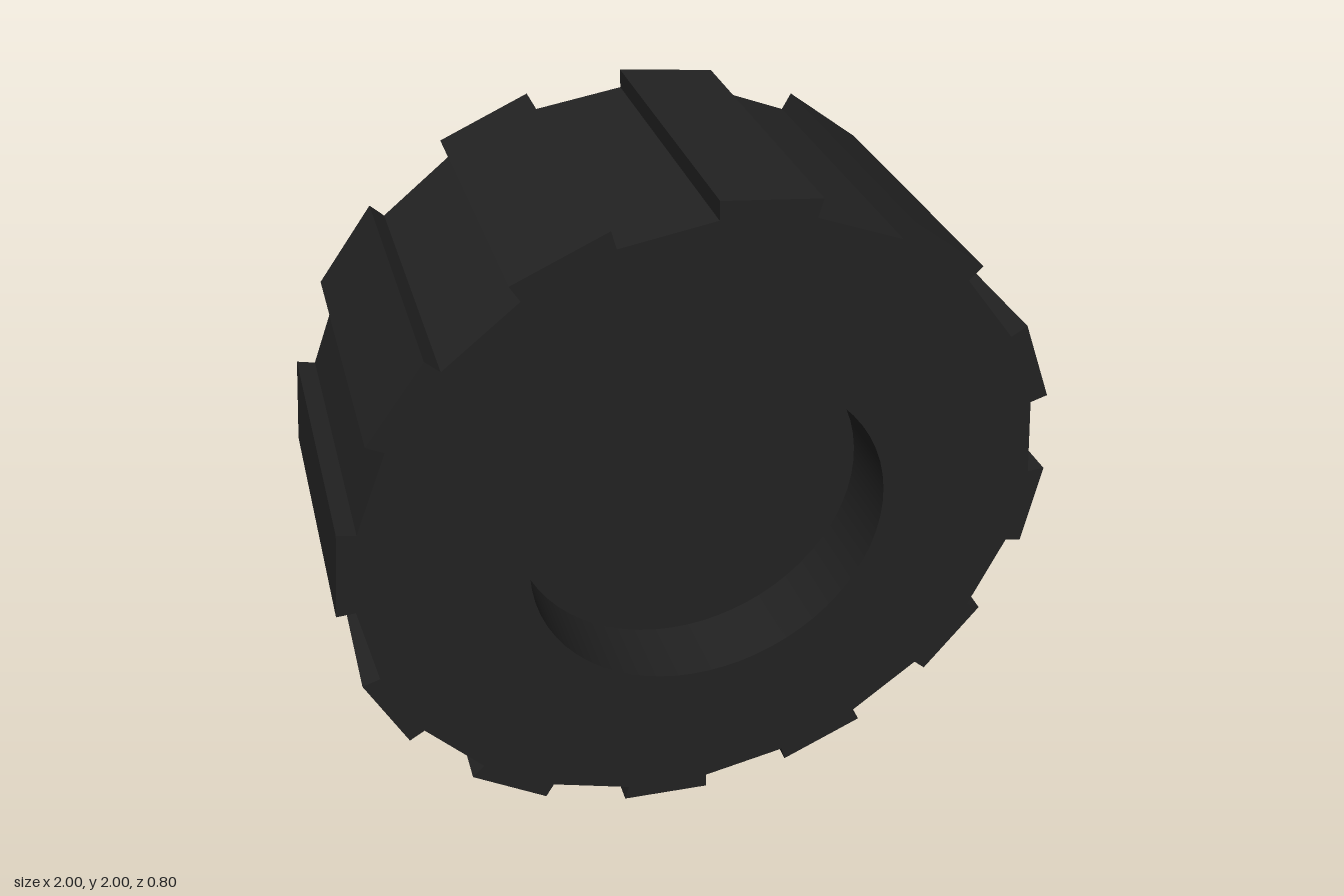
import * as THREE from 'three';
import { toCreasedNormals } from 'three/addons/utils/BufferGeometryUtils.js';

const WIDTH = 0.8, OUTER = 1, GROOVE = 0.95, BORE = 0.5, RECESS = 0.2, LUGS = 12;

export function createModel() {
  const rubber = new THREE.MeshStandardMaterial({ color: 0x222222 });
  const wheel = new THREE.Group();
  wheel.name = 'wheel';
  wheel.position.y = OUTER;

  // Toothed outline: lugs and grooves alternate, each spanning one straight chord
  const step = Math.PI / LUGS;
  const outline = [];
  for (let i = 0; i < LUGS * 2; i++) {
    const r = i % 2 ? OUTER : GROOVE;
    for (const a of [i * step, (i + 1) * step]) {
      outline.push(new THREE.Vector2(r * Math.cos(a), r * Math.sin(a)));
    }
  }
  const profile = new THREE.Shape(outline);
  const bore = new THREE.Path();
  bore.absarc(0, 0, BORE, 0, Math.PI * 2, true);
  profile.holes.push(bore);

  // Tyre with tread lugs and a smooth round bore
  const tyreGeometry = new THREE.ExtrudeGeometry(profile, {
    depth: WIDTH, bevelEnabled: false, curveSegments: 32,
  });
  tyreGeometry.translate(0, 0, -WIDTH / 2);
  const tyre = new THREE.Mesh(toCreasedNormals(tyreGeometry, Math.PI / 18), rubber);
  tyre.name = 'tyre';
  wheel.add(tyre);

  // Recessed hub faces on both sides
  for (const side of [1, -1]) {
    const hub = new THREE.Mesh(new THREE.CircleGeometry(BORE, 64), rubber);
    hub.name = side > 0 ? 'frontHubFace' : 'backHubFace';
    hub.position.z = side * (WIDTH / 2 - RECESS);
    if (side < 0) hub.rotation.y = Math.PI;
    wheel.add(hub);
  }

  const model = new THREE.Group();
  model.add(wheel);
  return model;
}
